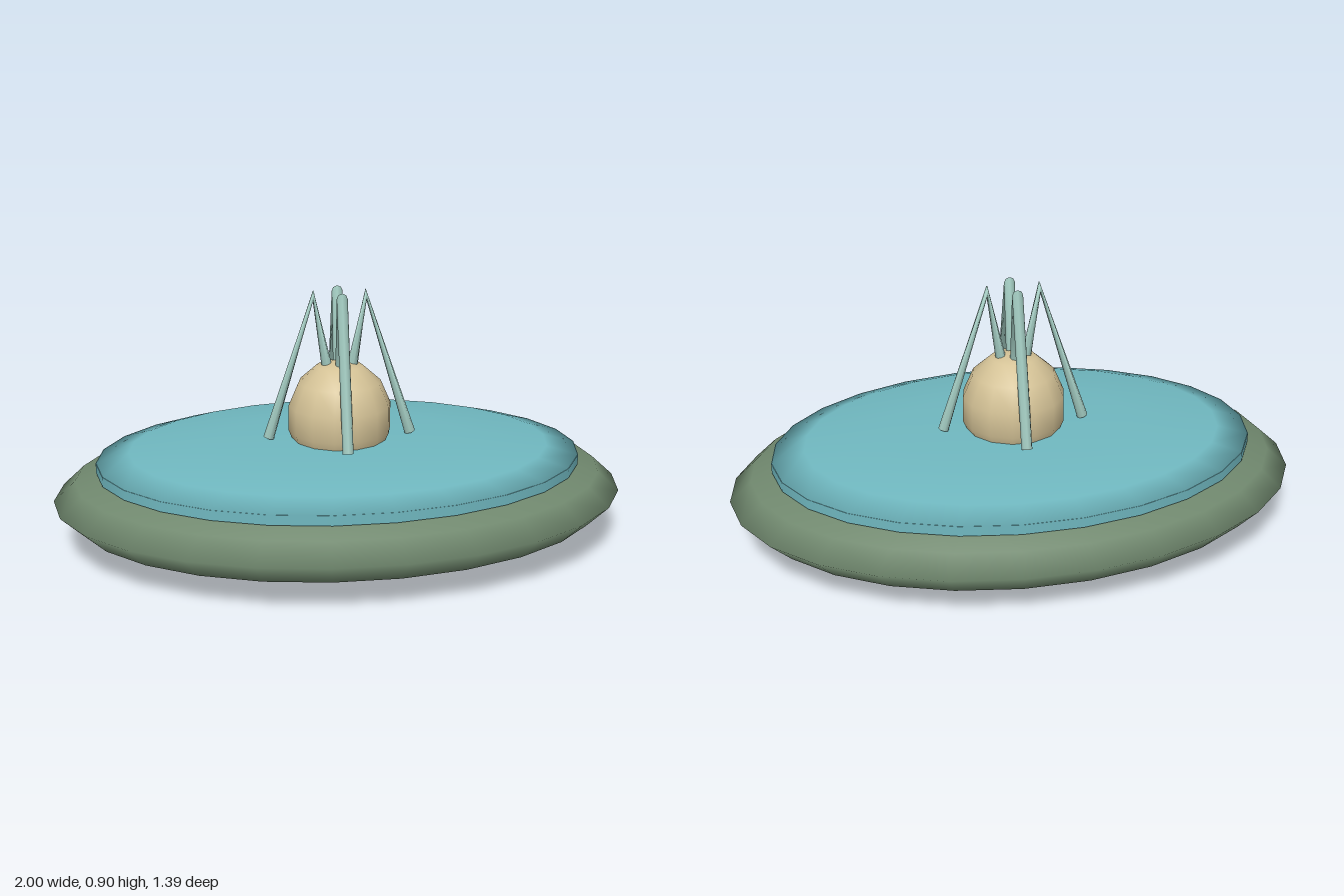
import * as THREE from 'three';

const paint = (name, color) => {
  const m = new THREE.MeshStandardMaterial({ color });
  m.name = name;
  return m;
};

// Bent path through three corners; the tube is mitred at the peak
class BentPath extends THREE.Curve {
  constructor(foot, peak, tip) {
    super();
    this.corners = [foot, peak, tip];
    const up = peak.clone().sub(foot).normalize();
    const down = tip.clone().sub(peak).normalize();
    this.directions = [up, up.clone().add(down).normalize(), down];
  }
  getPointAt(u) { return this.corners[Math.round(u * 2)].clone(); }
  getPoint(u) { return this.getPointAt(u); }
  getTangentAt(u) { return this.directions[Math.round(u * 2)].clone(); }
}

export function createModel() {
  const model = new THREE.Group();
  model.name = 'saucer';
  const hullGreen = paint('hull green', 0x70886e);
  const deckTeal = paint('deck teal', 0x70b8c0);
  const domeSand = paint('dome sand', 0xd4c296);
  const strutMint = paint('strut mint', 0xa0c8be);
  strutMint.side = THREE.DoubleSide;

  const add = (name, geometry, material, parent = model) => {
    const mesh = new THREE.Mesh(geometry, material);
    mesh.name = name;
    parent.add(mesh);
    return mesh;
  };

  // Oval lens-shaped hull
  const hull = new THREE.SphereGeometry(1, 26, 8).scale(1, 0.184, 0.7);
  add('hull', hull.translate(0, 0.184, 0), hullGreen);

  // Deck: short oval rim with a shallow domed top
  const deck = new THREE.Group();
  deck.name = 'deck';
  model.add(deck);
  const rim = new THREE.CylinderGeometry(0.85, 0.85, 0.035, 26).rotateY(Math.PI / 2);
  add('deckRim', rim.scale(1, 1, 0.695).translate(0, 0.299, 0), deckTeal, deck);
  const top = new THREE.SphereGeometry(0.85, 26, 3, 0, Math.PI * 2, 0, Math.PI / 2);
  add('deckTop', top.scale(1, 0.065 / 0.85, 0.695).translate(0, 0.316, 0), deckTeal, deck);

  // Central dome
  const dome = new THREE.SphereGeometry(1, 14, 7).scale(0.184, 0.205, 0.175);
  add('dome', dome.translate(0, 0.45, 0), domeSand);

  // Four bent struts, shorter in reach at front and back
  const struts = new THREE.Group();
  struts.name = 'struts';
  model.add(struts);
  const strut = (name, x, z, foot, peak, tip) => {
    const at = (r, y) => new THREE.Vector3(x * r, y, z * r);
    const path = new BentPath(at(foot, 0.382), at(peak, 0.884), at(tip, 0.62));
    add(name, new THREE.TubeGeometry(path, 2, 0.019, 8), strutMint, struts);
  };
  strut('leftStrut', 1, 0, 0.25, 0.091, 0.042);
  strut('rightStrut', -1, 0, 0.25, 0.091, 0.042);
  strut('frontStrut', 0, 1, 0.208, 0.063, 0.03);
  strut('backStrut', 0, -1, 0.208, 0.063, 0.03);

  return model;
}
